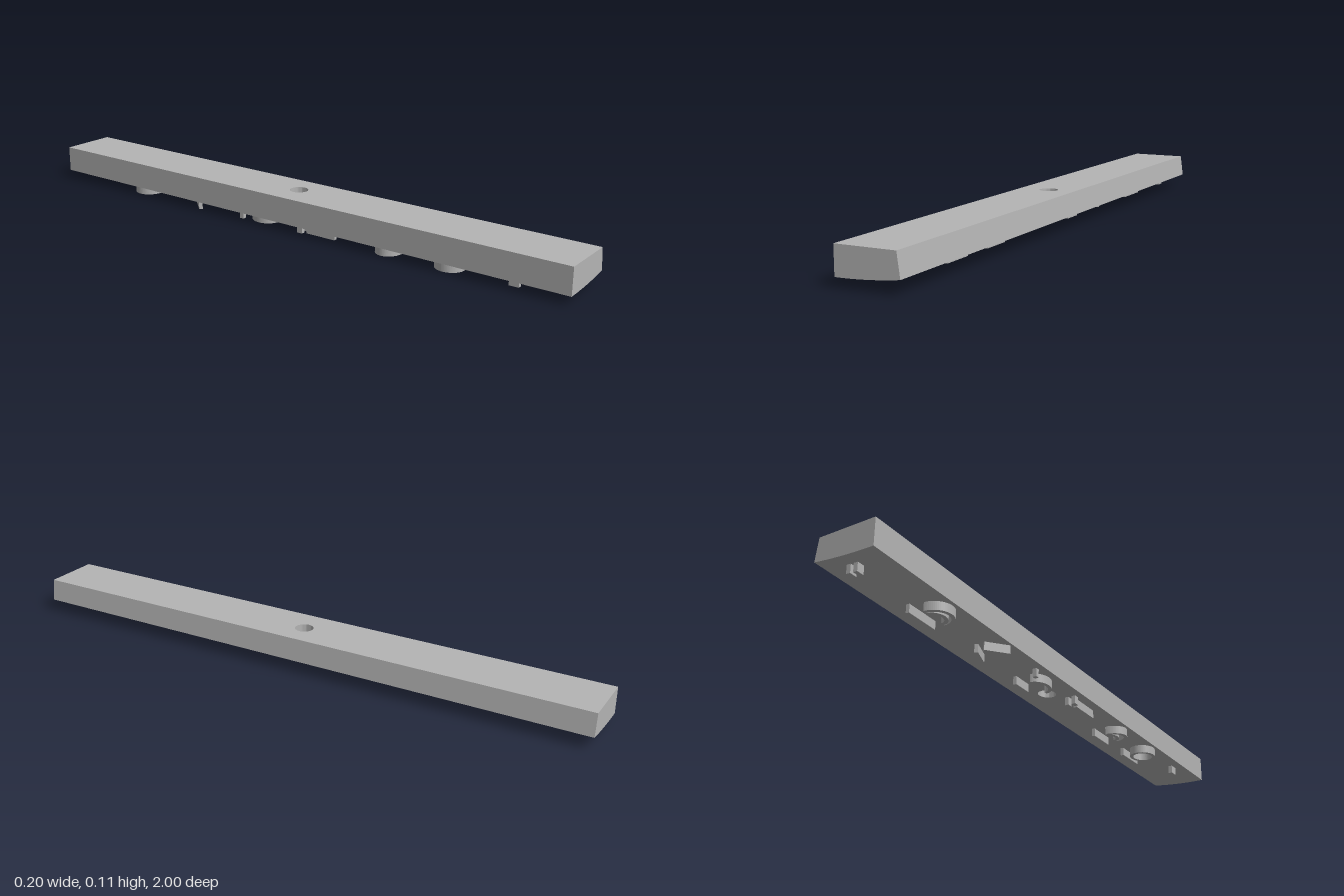
import * as THREE from 'three';
import { mergeGeometries, toCreasedNormals } from 'three/addons/utils/BufferGeometryUtils.js';

const TOP = 0.115, HALF = 0.1, HOLE = 0.03;

// Height of the gently curved underside
const under = x => 0.028 + 0.35 * (x + 0.1) ** 2;

// Long half of the bar: the cross-section extruded along z
function barEnd(z) {
  const shape = new THREE.Shape();
  shape.moveTo(-HALF, TOP);
  for (let i = 0; i <= 12; i++) {
    const x = -HALF + (2 * HALF * i) / 12;
    shape.lineTo(x, under(x));
  }
  shape.lineTo(0.09, TOP);
  return new THREE.ExtrudeGeometry(shape, { depth: 1 - HALF, bevelEnabled: false }).translate(0, 0, z);
}

// Middle block: rings that blend from the round bore to the square outline
function barMiddle() {
  const N = 48;
  const rings = [[0, 0], [0, 1], [1, 1], [1, 0], [0.75, 0], [0.5, 0], [0.25, 0], [0, 0]];
  const point = ([t, top], i) => {
    const a = (i / N) * Math.PI * 2, c = Math.cos(a), s = Math.sin(a);
    const k = HALF / Math.max(Math.abs(c), Math.abs(s));
    const r = HOLE + (k - HOLE) * t;
    let x = c * r;
    const z = s * r;
    if (top && t === 1 && x > 0) x *= 0.9;
    return [x, top ? TOP : under(x), z];
  };
  const pos = [];
  for (let j = 0; j < rings.length - 1; j++) {
    for (let i = 0; i < N; i++) {
      const a = point(rings[j], i), b = point(rings[j], i + 1);
      const c = point(rings[j + 1], i + 1), d = point(rings[j + 1], i);
      pos.push(...a, ...b, ...c, ...a, ...c, ...d);
    }
  }
  const g = new THREE.BufferGeometry();
  g.setAttribute('position', new THREE.Float32BufferAttribute(pos, 3));
  g.computeVertexNormals();
  return g;
}

// Make a ridge follow the underside: its lower end hangs a fixed depth below
function hang(g) {
  const p = g.attributes.position;
  for (let i = 0; i < p.count; i++) {
    const u = under(p.getX(i));
    p.setY(i, p.getY(i) > 0 ? u + 0.004 : u - 0.028);
  }
  g.computeVertexNormals();
  return g;
}

// Straight ridge between two plan points
function ridge(x1, z1, x2, z2, w = 0.012) {
  const g = new THREE.BoxGeometry(w, 1, Math.hypot(x2 - x1, z2 - z1));
  g.rotateY(Math.atan2(x2 - x1, z2 - z1));
  return hang(g.translate((x1 + x2) / 2, 0, (z1 + z2) / 2));
}

// Curved ridge: a band swept in plan from angle a0 to a1
function arc(x, z, rx, rz, a0, a1, w = 0.012) {
  const shape = new THREE.Shape();
  shape.absellipse(0, 0, rx, rz, a0, a1, false, 0);
  shape.absellipse(0, 0, rx - w, rz - w, a1, a0, true, 0);
  const g = new THREE.ExtrudeGeometry(shape, { depth: 1, bevelEnabled: false, curveSegments: 16 });
  g.rotateX(Math.PI / 2).translate(x, 0.5, z);
  return hang(g);
}

export function createModel() {
  const grey = new THREE.MeshStandardMaterial({ color: 0xb4b4b4 });
  grey.name = 'grey metal';
  const model = new THREE.Group();
  model.name = 'ridgedBar';
  const add = (name, g) => {
    const mesh = new THREE.Mesh(g, grey);
    mesh.name = name;
    model.add(mesh);
  };

  // Bar with a vertical bore
  const parts = [barEnd(HALF), barEnd(-1), barMiddle()].map(g => {
    const flat = g.index ? g.toNonIndexed() : g;
    flat.deleteAttribute('uv');
    flat.clearGroups();
    return flat;
  });
  add('bar', toCreasedNormals(mergeGeometries(parts), 0.4));

  // Straight ridges: x1, z1, x2, z2
  const straight = [
    [0.018, -0.59, 0.018, -0.71], [0.018, -0.345, -0.008, -0.415], [-0.035, -0.415, -0.088, -0.355],
    [0.018, -0.095, 0.018, -0.165], [-0.06, 0.08, -0.06, 0.19],
    [0.015, 0.335, 0.015, 0.435], [0.015, 0.55, 0.015, 0.66],
  ];
  straight.forEach((s, i) => add('straightRidge' + (i + 1), ridge(...s)));

  // Curved ridges: centre, radii, sweep
  const H = Math.PI / 2;
  const curved = [
    [-0.03, -0.645, 0.058, 0.055, H, 3 * H], [-0.03, -0.645, 0.035, 0.04, H, 3 * H],
    [-0.035, -0.11, 0.04, 0.05, H, 3 * H],
    [-0.035, 0.38, 0.055, 0.045, H, 3 * H], [-0.03, 0.375, 0.03, 0.035, H, 3 * H],
    [-0.045, 0.595, 0.045, 0.048, 0, 2 * H], [-0.045, 0.595, 0.045, 0.048, 2 * H, 4 * H],
  ];
  curved.forEach((c, i) => add('curvedRidge' + (i + 1), arc(...c)));

  // Small pegs: x, z, length along z
  const pegs = [
    [0.018, -0.945, 0.025], [-0.006, -0.945, 0.025], [-0.07, -0.182, 0.014],
    [-0.045, 0.06, 0.02], [-0.07, 0.06, 0.02], [-0.06, 0.813, 0.032],
  ];
  pegs.forEach(([x, z, l], i) => add('peg' + (i + 1), ridge(x, z - l / 2, x, z + l / 2, 0.014)));

  return model;
}
